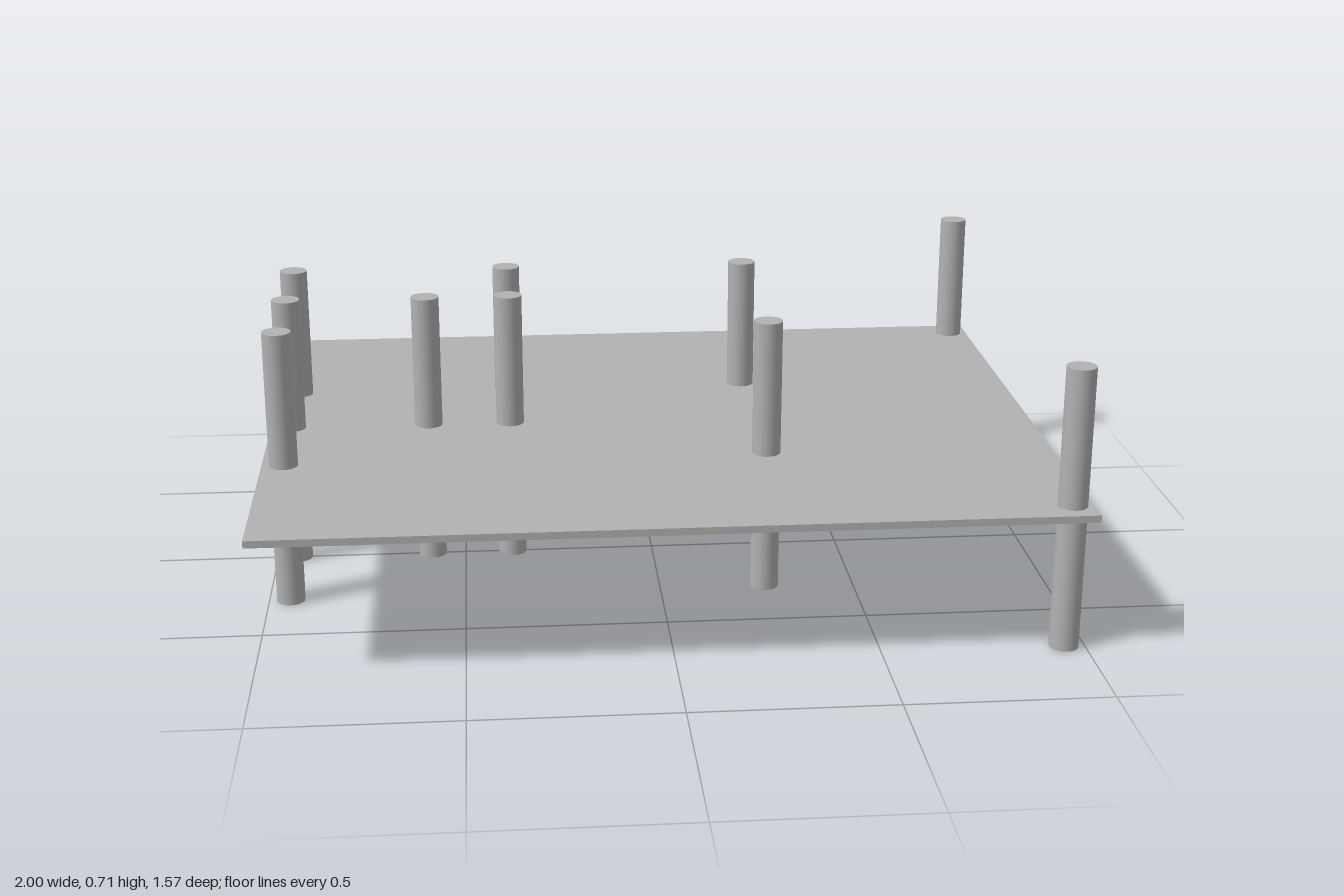
import * as THREE from 'three';

export function createModel() {
  const model = new THREE.Group();
  model.name = 'plateWithPosts';
  const grey = new THREE.MeshStandardMaterial({ color: 0xb2b2b2 });
  grey.name = 'grey';

  const height = 0.714;

  // Thin flat plate at mid height
  const plate = new THREE.Mesh(new THREE.BoxGeometry(2, 0.018, 1.57), grey);
  plate.name = 'plate';
  plate.position.y = height / 2;
  model.add(plate);

  // Round posts passing through the plate, as [x, z]
  const posts = [
    [0.949, -0.714], [0.949, 0.714],
    [0.27, -0.286], [0.27, 0.286],
    [-0.374, -0.286], [-0.374, 0], [-0.588, 0],
    [-0.945, -0.286], [-0.945, 0], [-0.945, 0.286],
  ];
  const postGeometry = new THREE.CylinderGeometry(0.036, 0.036, height, 40);
  posts.forEach(([x, z], i) => {
    const post = new THREE.Mesh(postGeometry, grey);
    post.name = `post${i + 1}`;
    post.position.set(x, height / 2, z);
    model.add(post);
  });

  return model;
}
